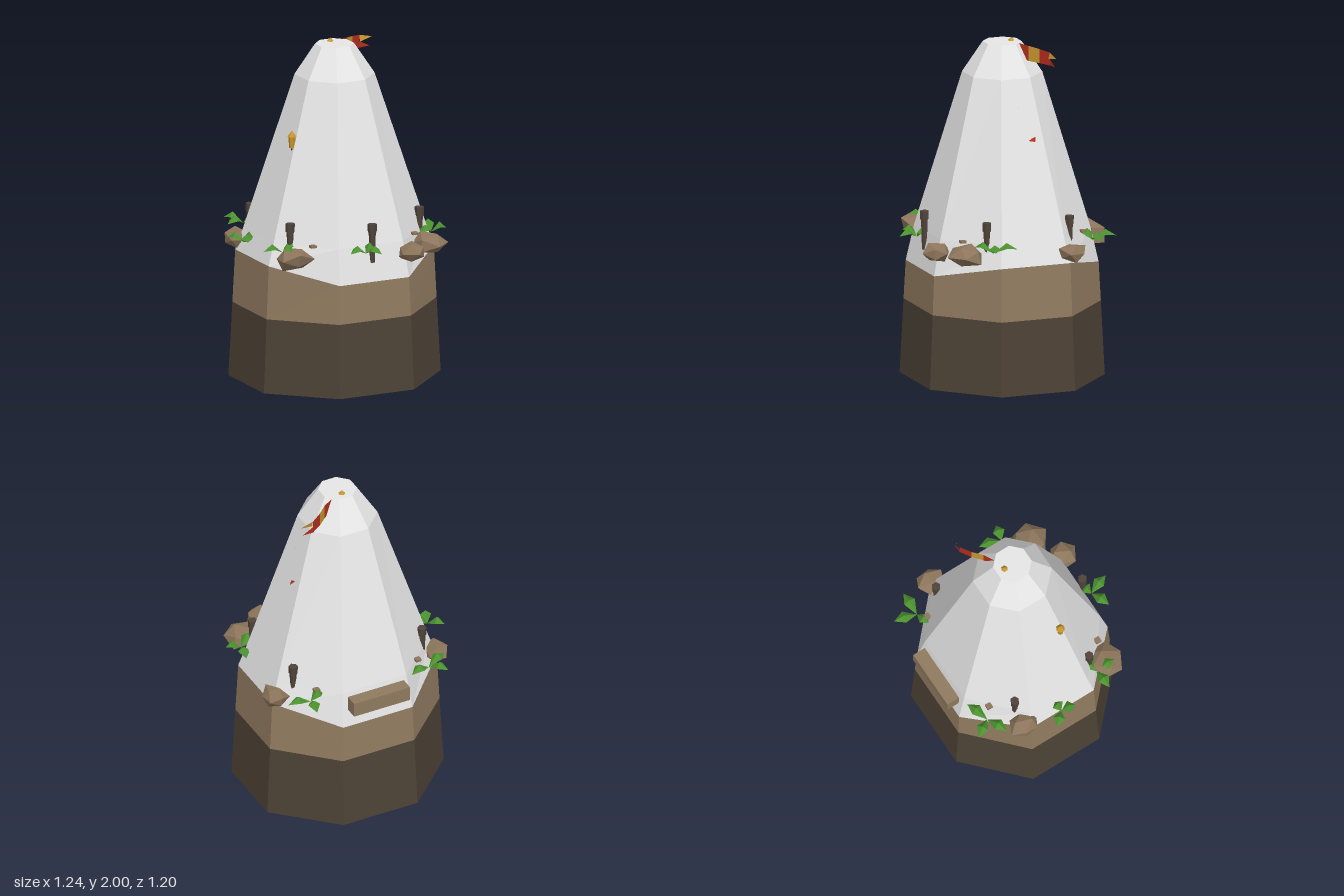
import * as THREE from 'three';

const CX = 0.025, CZ = -0.035, K = 0.42;

const mat = (name, color, extra = {}) => {
  const m = new THREE.MeshStandardMaterial({ color, flatShading: true, ...extra });
  m.name = name;
  return m;
};

function rawGeometry(points) {
  const g = new THREE.BufferGeometry();
  g.setAttribute('position', new THREE.Float32BufferAttribute(points.flat(), 3));
  g.computeVertexNormals();
  return g;
}

// Octagonal ring: half extents in x and z, height at the z faces and at the x faces
function ring(ax, az, yz, yx = yz) {
  return [[K, 1], [1, K], [1, -K], [K, -1], [-K, -1], [-1, -K], [-1, K], [-K, 1]]
    .map(([x, z]) => [CX + x * ax, Math.abs(z) === 1 ? yz : yx, CZ + z * az]);
}

// Skin consecutive rings with flat facets, optionally closing the ends
function loft(rings, capTop, capBottom) {
  const p = [];
  for (let r = 0; r < rings.length - 1; r++) {
    const a = rings[r], b = rings[r + 1];
    for (let i = 0; i < 8; i++) {
      const j = (i + 1) % 8;
      p.push(a[i], a[j], b[j], a[i], b[j], b[i]);
    }
  }
  const top = rings[rings.length - 1], bottom = rings[0];
  for (let i = 0; i < 8; i++) {
    const j = (i + 1) % 8;
    if (capTop) p.push([CX, top[0][1], CZ], top[i], top[j]);
    if (capBottom) p.push([CX, bottom[0][1], CZ], bottom[j], bottom[i]);
  }
  return rawGeometry(p);
}

export function createModel() {
  const model = new THREE.Group();
  model.name = 'mountainTower';

  const snow = mat('snow white', 0xe6e6e6);
  const earth = mat('earth brown', 0x917b60);
  const dark = mat('dark earth', 0x4d4236);
  const rockMat = mat('rock brown', 0x8c755b);
  const wood = mat('post wood', 0x4f443a);
  const timber = mat('beam timber', 0x8f7a5e);
  const leafMat = mat('leaf green', 0x4c922f, { side: THREE.DoubleSide });
  const gold = mat('gold', 0xc8962f, { side: THREE.DoubleSide });
  const red = mat('flag red', 0xb42d1e, { side: THREE.DoubleSide });

  const add = (name, geometry, material, x = 0, y = 0, z = 0, parent = model) => {
    const m = new THREE.Mesh(geometry, material);
    m.name = name;
    m.position.set(x, y, z);
    parent.add(m);
    return m;
  };

  // Stacked octagonal body
  const r0 = ring(0.575, 0.545, 0), r1 = ring(0.553, 0.524, 0.44);
  const r2 = ring(0.537, 0.513, 0.67, 0.755);
  add('lowerBase', loft([r0, r1], false, true), dark);
  add('upperBase', loft([r1, r2]), earth);
  add('peak', loft([r2, ring(0.497, 0.468, 0.88), ring(0.215, 0.215, 1.8),
    ring(0.105, 0.105, 1.98)], true), snow);

  // Posts with caps around the ledge
  for (const [x, z] of [[-0.395, -0.29], [0.445, -0.29], [-0.395, 0.225], [0.445, 0.225], [0.025, 0.45]]) {
    const post = new THREE.Group();
    post.name = 'post';
    post.position.set(x, 0, z);
    model.add(post);
    add('postStem', new THREE.CylinderGeometry(0.021, 0.015, 0.18, 6), wood, 0, 0.87, 0, post);
    add('postCap', new THREE.CylinderGeometry(0.027, 0.026, 0.05, 6), wood, 0, 0.985, 0, post);
  }

  // Boulders: centre and half sizes
  const rocks = [
    [-0.425, 0.825, 0.325, 0.115, 0.07, 0.1], [0.27, 0.818, 0.47, 0.085, 0.057, 0.08],
    [0.445, 0.825, 0.355, 0.115, 0.07, 0.11], [0.555, 0.815, -0.265, 0.078, 0.058, 0.092],
    [-0.485, 0.815, -0.285, 0.08, 0.058, 0.09],
  ];
  rocks.forEach(([x, y, z, sx, sy, sz], n) => {
    const g = new THREE.IcosahedronGeometry(1, 0);
    const pos = g.attributes.position;
    for (let i = 0; i < pos.count; i++) {
      const v = new THREE.Vector3().fromBufferAttribute(pos, i);
      const s = 1 + 0.13 * Math.sin(v.x * 5 + v.y * 3 + v.z * 7 + n * 2);
      pos.setXYZ(i, v.x * s, v.y * s, v.z * s);
    }
    g.rotateY(n * 1.1);
    g.scale(sx, sy, sz);
    g.computeVertexNormals();
    add('boulder', g, rockMat, x, y, z);
  });

  // Small stones poking out of the diagonal faces
  for (const sx of [-1, 1]) for (const sz of [-1, 1]) {
    add('smallStone', new THREE.BoxGeometry(0.035, 0.014, 0.035), rockMat,
      CX + sx * 0.33, 0.888, CZ + sz * 0.375);
  }

  // Plants: root position followed by three leaf tips (x, z)
  const plants = [
    [[-0.355, -0.455], [-0.43, -0.56], [-0.22, -0.505], [-0.485, -0.4]],
    [[0.41, -0.445], [0.44, -0.585], [0.555, -0.445], [0.32, -0.42]],
    [[-0.545, -0.065], [-0.62, -0.14], [-0.565, 0.02], [-0.485, -0.07]],
    [[-0.45, 0.24], [-0.58, 0.245], [-0.455, 0.38], [-0.36, 0.21]],
    [[-0.03, 0.475], [-0.15, 0.52], [0.012, 0.6], [0.03, 0.45]],
    [[0.525, 0.215], [0.56, 0.08], [0.615, 0.235], [0.42, 0.29]],
  ];
  for (const [[x, z], ...tips] of plants) {
    const p = [];
    for (const [tx, tz] of tips) {
      const dx = tx - x, dz = tz - z, len = Math.hypot(dx, dz);
      const wx = -dz / len * 0.036, wz = dx / len * 0.036;
      const root = [x, 0.845, z], tip = [tx, 0.865, tz];
      const mx = x + dx * 0.55, mz = z + dz * 0.55;
      const ridge = [mx, 0.905, mz];
      const l = [mx + wx, 0.878, mz + wz], r = [mx - wx, 0.878, mz - wz];
      p.push(root, l, ridge, root, ridge, r, l, tip, ridge, ridge, tip, r);
    }
    add('plant', rawGeometry(p), leafMat);
  }

  // Beam on the back
  add('backBeam', new THREE.BoxGeometry(0.365, 0.09, 0.08), timber, 0.025, 0.815, -0.562);

  // Hanging lantern
  const lantern = new THREE.Group();
  lantern.name = 'lantern';
  lantern.position.set(-0.31, 0, 0.08);
  model.add(lantern);
  add('lanternRoof', new THREE.ConeGeometry(0.027, 0.035, 6), gold, 0, 1.505, 0, lantern);
  add('lanternBody', new THREE.CylinderGeometry(0.022, 0.016, 0.07, 6), gold, 0, 1.455, 0, lantern);
  add('lanternTip', new THREE.ConeGeometry(0.01, 0.03, 6).rotateX(Math.PI), wood, 0, 1.41, 0, lantern);

  // Finial at the summit
  add('finial', new THREE.ConeGeometry(0.025, 0.025, 6), gold, 0.025, 1.988, -0.09);

  // Striped banner with a forked end: x, z, top, bottom
  const s = [[0.1, -0.11, 1.978, 1.895], [0.165, -0.145, 1.972, 1.882],
    [0.22, -0.19, 1.962, 1.878], [0.285, -0.23, 1.952, 1.874]];
  for (let i = 0; i < 3; i++) {
    const [x, z, t, b] = s[i], [X, Z, T, B] = s[i + 1];
    add('bannerStripe', rawGeometry([[x, b, z], [X, B, Z], [X, T, Z], [x, b, z], [X, T, Z], [x, t, z]]),
      i === 1 ? gold : red);
  }
  add('bannerUpperTail', rawGeometry([[0.285, 1.952, -0.23], [0.285, 1.913, -0.22], [0.37, 1.932, -0.235]]), gold);
  add('bannerLowerTail', rawGeometry([[0.285, 1.913, -0.23], [0.285, 1.874, -0.23], [0.355, 1.878, -0.235]]), red);

  // Pennant tips showing on the left slope
  add('pennantTip', rawGeometry([[0.34, 1.452, -0.065], [0.372, 1.448, -0.105], [0.345, 1.472, -0.118]]), red);
  add('smallPennantTip', rawGeometry([[0.265, 1.637, -0.018], [0.295, 1.637, -0.03], [0.27, 1.645, -0.045]]), gold);

  return model;
}
